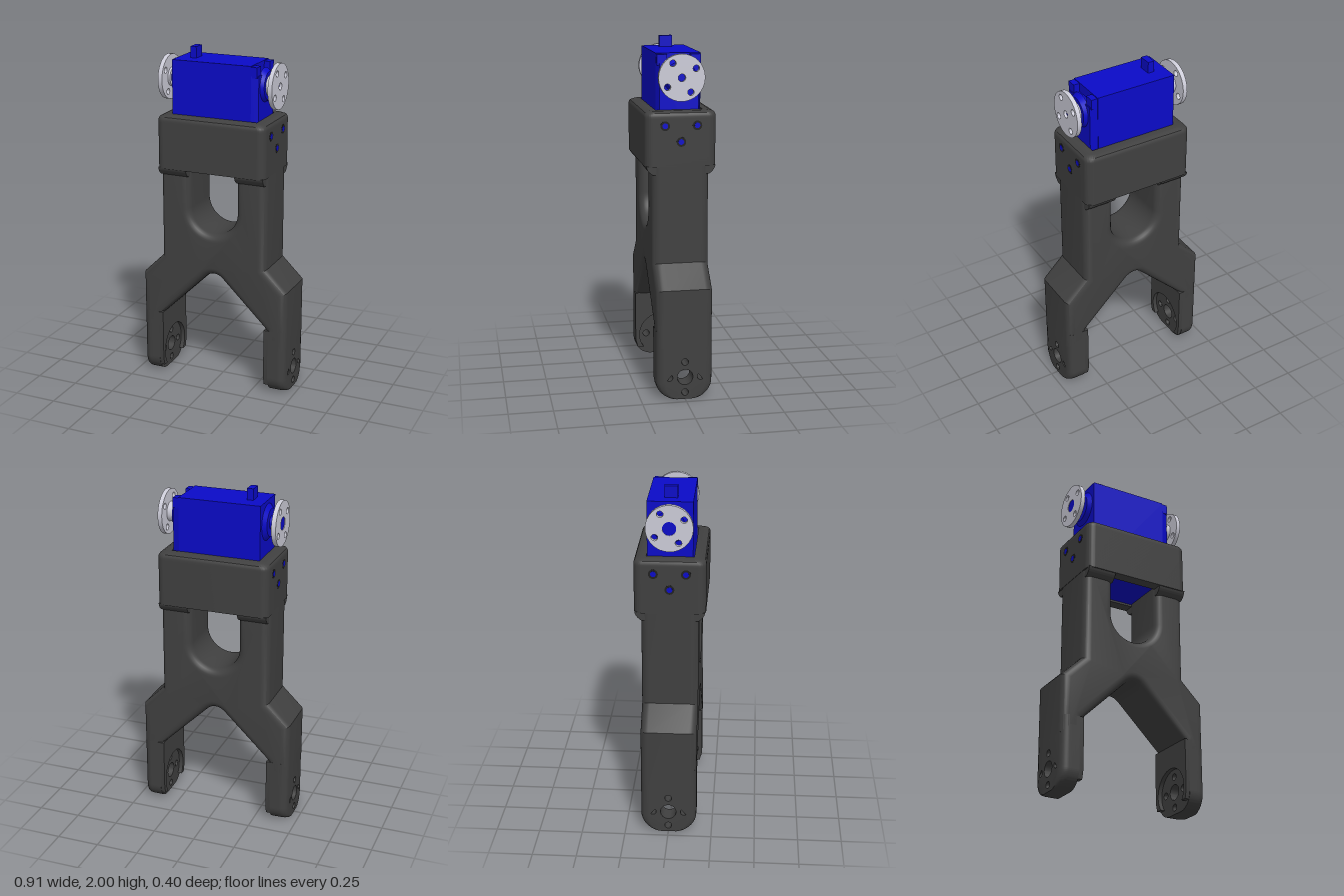
import * as THREE from 'three';
import { toCreasedNormals } from 'three/addons/utils/BufferGeometryUtils.js';

const material = (color) => new THREE.MeshStandardMaterial({ color });
const DARK = material(0x404040), BLUE = material(0x0a0ac8), LIGHT = material(0xccccd8), RIM = material(0x202020);
const SHAFT_Y = 1.81, JOINT_Y = 0.13;

function add(parent, name, geometry, mat) {
  const mesh = new THREE.Mesh(toCreasedNormals(geometry, 0.6), mat);
  mesh.name = name;
  parent.add(mesh);
  return mesh;
}

// Box given by its limits on each axis
function box(x0, x1, y0, y1, z0, z1) {
  return new THREE.BoxGeometry(x1 - x0, y1 - y0, z1 - z0)
    .translate((x0 + x1) / 2, (y0 + y1) / 2, (z0 + z1) / 2);
}

// Cylinder or cone along x
function rod(x0, x1, r0, r1, y, z = 0, sides = 32) {
  return new THREE.CylinderGeometry(r1, r0, x1 - x0, sides)
    .rotateZ(-Math.PI / 2).translate((x0 + x1) / 2, y, z);
}

function extrude(shape, depth, steps = 1) {
  return new THREE.ExtrudeGeometry(shape, { depth, steps, bevelEnabled: false, curveSegments: 16 });
}

// Extrude a side outline (z, y) along x
const extrudeX = (shape, x0, x1, steps) => extrude(shape, x1 - x0, steps).rotateY(Math.PI / 2).translate(x0, 0, 0);

function hole(x, y, r) {
  return new THREE.Path().absarc(x, y, r, 0, Math.PI * 2, true);
}

function moveVertices(geometry, rule) {
  const p = geometry.attributes.position, v = new THREE.Vector3();
  for (let i = 0; i < p.count; i++) {
    rule(v.fromBufferAttribute(p, i));
    p.setXYZ(i, v.x, v.y, v.z);
  }
  return geometry;
}

// Inset of a quarter-round edge of radius r that ends at limit
function inset(value, limit, r) {
  const t = Math.min(r, Math.max(0, value - (limit - r)));
  return r - Math.sqrt(r * r - t * t);
}

function roundedRect(w, d, r) {
  const s = new THREE.Shape();
  s.absarc(w - r, d - r, r, 0, Math.PI / 2);
  s.absarc(-w + r, d - r, r, Math.PI / 2, Math.PI);
  s.absarc(-w + r, -d + r, r, Math.PI, Math.PI * 1.5);
  s.absarc(w - r, -d + r, r, Math.PI * 1.5, Math.PI * 2);
  s.closePath();
  return s;
}

// Forked frame with a U-shaped window open to the collar
function frameGeometry() {
  const s = new THREE.Shape();
  s.moveTo(0.328, 1.36);
  s.lineTo(0.145, 1.36);
  s.lineTo(0.145, 1.08);
  s.absarc(0, 1.08, 0.145, 0, -Math.PI, true);
  s.lineTo(-0.145, 1.36);
  s.lineTo(-0.328, 1.36);
  s.lineTo(-0.328, 0.765);
  s.lineTo(-0.455, 0.64);
  s.lineTo(-0.455, 0.3);
  s.lineTo(-0.326, 0.3);
  s.lineTo(-0.326, 0.4);
  s.lineTo(-0.05, 0.67);
  s.quadraticCurveTo(0, 0.71, 0.05, 0.67);
  s.lineTo(0.326, 0.4);
  s.lineTo(0.326, 0.3);
  s.lineTo(0.455, 0.3);
  s.lineTo(0.455, 0.64);
  s.lineTo(0.328, 0.765);
  s.closePath();
  return new THREE.ExtrudeGeometry(s, {
    depth: 0.23, bevelThickness: 0.045, bevelSize: 0.045, bevelOffset: -0.045, bevelSegments: 6, curveSegments: 16,
  }).translate(0, 0, -0.115);
}

// Leg end: drilled outer plate and notched inner plate
function addLegEnd(parent) {
  const outer = new THREE.Shape();
  outer.moveTo(0.16, 0.4);
  outer.lineTo(-0.16, 0.4);
  outer.absarc(-0.06, 0.1, 0.1, Math.PI, Math.PI * 1.5);
  outer.absarc(0.06, 0.1, 0.1, Math.PI * 1.5, Math.PI * 2);
  outer.closePath();
  outer.holes.push(hole(0, JOINT_Y, 0.045));
  for (let i = 0; i < 4; i++) {
    const a = i * Math.PI / 2;
    outer.holes.push(hole(0.09 * Math.cos(a), JOINT_Y + 0.09 * Math.sin(a), 0.02));
  }
  const plate = moveVertices(extrudeX(outer, 0.35, 0.455, 14), (v) => {
    if (Math.hypot(v.z, v.y - JOINT_Y) > 0.115) v.z *= 1 - inset(v.x, 0.455, 0.045) / 0.16;
  });
  add(parent, 'legEndPlate', plate, DARK);

  const inner = new THREE.Shape();
  inner.moveTo(0.16, 0.4);
  inner.lineTo(-0.16, 0.4);
  inner.lineTo(-0.16, 0.1);
  inner.lineTo(-0.147, 0.05);
  inner.absarc(0, JOINT_Y, 0.135, Math.PI + 0.634, -0.634, true);
  inner.lineTo(0.147, 0.05);
  inner.lineTo(0.16, 0.1);
  inner.closePath();
  add(parent, 'legRecessRim', extrudeX(inner, 0.325, 0.35), DARK);
}

// Collar: rounded rectangular ring with a softened top edge
function collarGeometry() {
  const s = roundedRect(0.33, 0.2, 0.045);
  const pocket = new THREE.Path();
  pocket.moveTo(-0.26, -0.132);
  pocket.lineTo(-0.26, 0.132);
  pocket.lineTo(0.26, 0.132);
  pocket.lineTo(0.26, -0.132);
  pocket.closePath();
  s.holes.push(pocket);
  const g = extrude(s, 0.31, 31).rotateX(-Math.PI / 2).translate(0, 1.315, 0);
  return moveVertices(g, (v) => {
    if (Math.abs(v.x) < 0.265 && Math.abs(v.z) < 0.14) return;
    const d = inset(v.y, 1.625, 0.03);
    v.x *= 1 - d / 0.33;
    v.z *= 1 - d / 0.2;
  });
}

// Flare joining one column to the collar
function flareGeometry() {
  const s = new THREE.Shape();
  s.moveTo(0.195, 1.32);
  s.lineTo(-0.195, 1.32);
  s.quadraticCurveTo(-0.19, 1.29, -0.158, 1.27);
  s.lineTo(0.158, 1.27);
  s.quadraticCurveTo(0.19, 1.29, 0.195, 1.32);
  return extrudeX(s, 0.15, 0.322);
}

// Drilled round horn, with its outer side facing +x
function hornGeometry(x0, x1, centreRadius) {
  const s = new THREE.Shape().absarc(0, 0, 0.13, 0, Math.PI * 2);
  s.holes.push(hole(0, 0, centreRadius));
  for (let i = 0; i < 4; i++) {
    const a = i * Math.PI / 2 + 0.56;
    s.holes.push(hole(0.094 * Math.cos(a), 0.094 * Math.sin(a), 0.018));
  }
  return extrudeX(s, x0, x1).translate(0, SHAFT_Y, 0);
}

function addServo(parent) {
  add(parent, 'servoBody', box(-0.26, 0.22, 1.325, 1.935, -0.128, 0.125), BLUE);
  const end = new THREE.Shape();
  end.moveTo(0.22, -0.125);
  end.lineTo(0.26, -0.11);
  end.lineTo(0.26, 0.11);
  end.lineTo(0.22, 0.125);
  end.closePath();
  add(parent, 'servoEnd', extrude(end, 0.555).rotateX(-Math.PI / 2).translate(0, 1.325, 0), BLUE);
  for (const z of [-0.095, 0.095]) {
    add(parent, 'servoCornerBlock', box(0.215, 0.255, 1.87, 1.93, z - 0.028, z + 0.028), BLUE);
  }
  add(parent, 'cableTab', box(-0.187, -0.15, 1.93, 2, -0.037, 0.037), BLUE);
  add(parent, 'frontBoss', rod(0.25, 0.28, 0.1, 0.08, SHAFT_Y), BLUE);
  add(parent, 'rearBoss', rod(-0.282, -0.255, 0.08, 0.11, SHAFT_Y), BLUE);
  add(parent, 'rearShaft', rod(-0.345, -0.28, 0.038, 0.038, SHAFT_Y), BLUE);
  add(parent, 'hornHub', rod(0.278, 0.322, 0.057, 0.057, SHAFT_Y), LIGHT);
  add(parent, 'hornScrew', rod(0.3, 0.33, 0.021, 0.021, SHAFT_Y), BLUE);
  add(parent, 'frontHorn', hornGeometry(0.32, 0.345, 0.021), LIGHT);
  add(parent, 'rearHorn', hornGeometry(0.322, 0.348, 0.038).rotateY(Math.PI), LIGHT);
  add(parent, 'rearHornHub', rod(-0.323, -0.308, 0.055, 0.055, SHAFT_Y), LIGHT);
}

export function createModel() {
  const model = new THREE.Group();
  model.name = 'servoLegBracket';
  add(model, 'forkFrame', frameGeometry(), DARK);
  add(model, 'collar', collarGeometry(), DARK);

  // Parts shared by both sides
  for (const [name, turn] of [['leftSide', 0], ['rightSide', Math.PI]]) {
    const side = new THREE.Group();
    side.name = name;
    side.rotation.y = turn;
    addLegEnd(side);
    add(side, 'collarFlare', flareGeometry(), DARK);
    for (const [z, y] of [[0.09, 1.545], [-0.09, 1.545], [0, 1.455]]) {
      add(side, 'screwRecess', rod(0.32, 0.331, 0.027, 0.027, y, z, 20), RIM);
      add(side, 'screw', rod(0.32, 0.332, 0.016, 0.016, y, z, 16), BLUE);
    }
    model.add(side);
  }

  const servo = new THREE.Group();
  servo.name = 'servo';
  addServo(servo);
  model.add(servo);
  return model;
}
